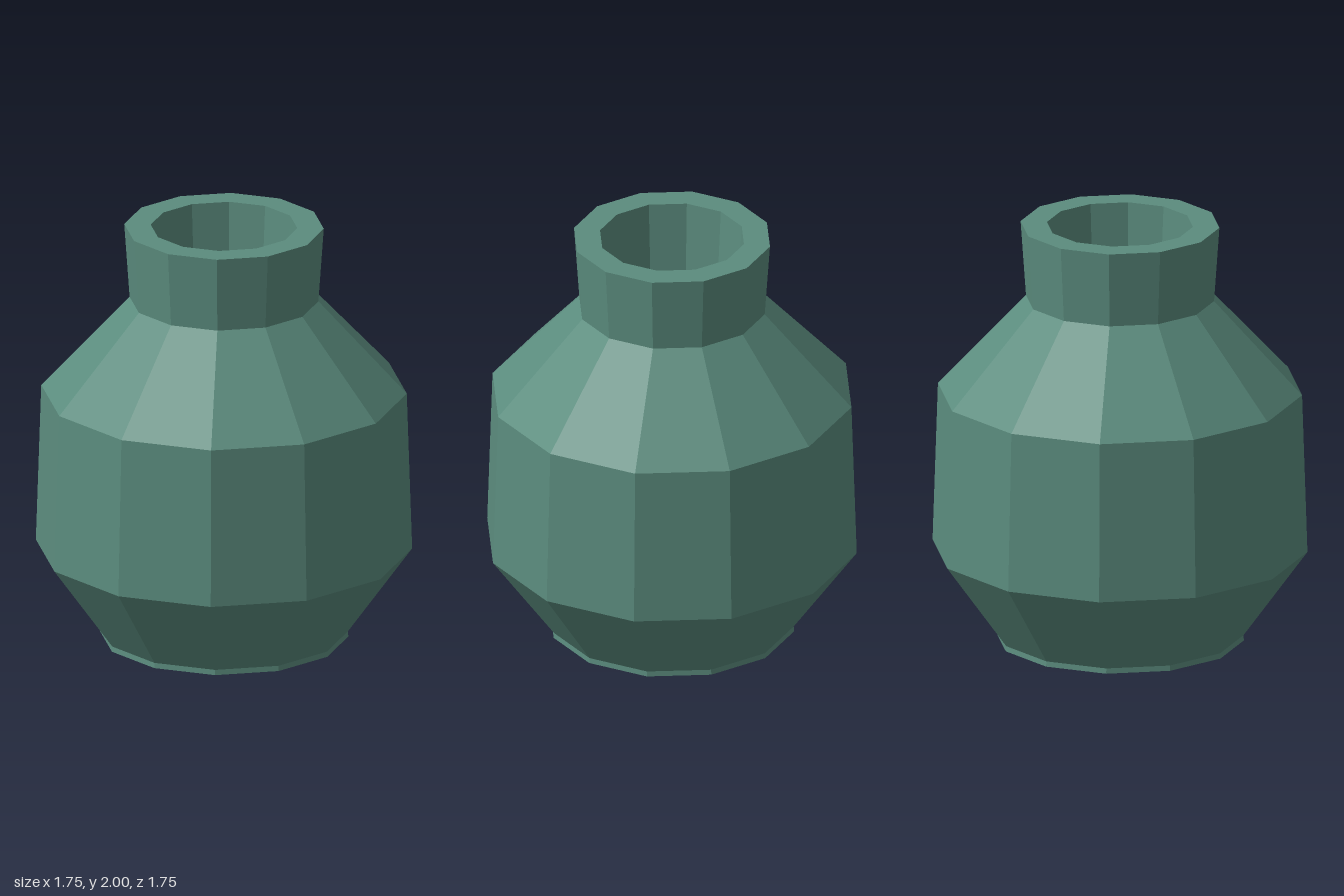
import * as THREE from 'three';

const SIDES = 12;

export function createModel() {
  const group = new THREE.Group();
  group.name = 'pot';
  const material = new THREE.MeshStandardMaterial({ color: 0x5b8c7e, flatShading: true });

  // Closed wall profile [radius, height]: up the outside, over the rim, down the inside
  const profile = [
    [0, 0], [0.577, 0], [0.575, 0.025],        // base and foot
    [0.873, 0.44], [0.848, 1.2],               // belly
    [0.438, 1.643], [0.463, 2],                // shoulder and neck
    [0.34, 2], [0.315, 1.6],                   // rim and inner neck
    [0.725, 1.15], [0.75, 0.48],               // inner shoulder and belly
    [0.47, 0.12], [0, 0.12],                   // inner floor
  ].map(([r, y]) => new THREE.Vector2(r, y));

  const body = new THREE.Mesh(new THREE.LatheGeometry(profile, SIDES), material);
  body.name = 'potBody';
  group.add(body);
  return group;
}
